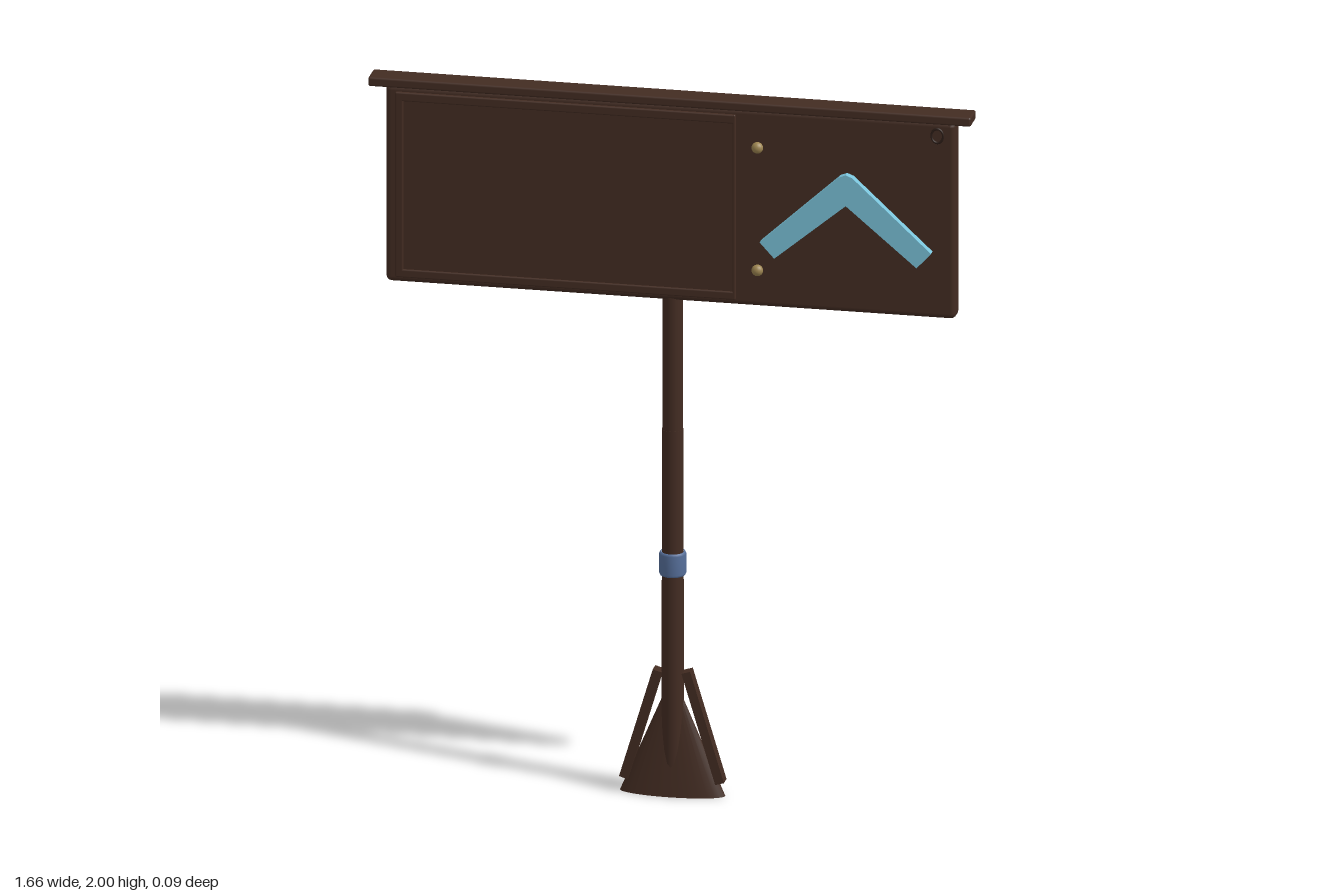
import * as THREE from 'three';
import { RoundedBoxGeometry } from 'three/addons/geometries/RoundedBoxGeometry.js';

export function createModel() {
  const root = new THREE.Group();
  const material = (name, color) => {
    const m = new THREE.MeshStandardMaterial({ color });
    m.name = name;
    return m;
  };
  const wood = material('dark brown wood', 0x432c22);
  const teal = material('light blue paint', 0x7ac3da);
  const brass = material('brass', 0x9c8450);
  const steel = material('blue grey band', 0x566f9a);
  const iron = material('dark iron', 0x2c1d17);

  const add = (name, geometry, mat, x, y, z) => {
    const mesh = new THREE.Mesh(geometry, mat);
    mesh.name = name;
    mesh.position.set(x, y, z);
    root.add(mesh);
    return mesh;
  };
  // Rounded box given by its extents on each axis
  const block = (name, [x0, x1], [y0, y1], [z0, z1], radius, mat = wood) =>
    add(name, new RoundedBoxGeometry(x1 - x0, y1 - y0, z1 - z0, 2, radius), mat,
      (x0 + x1) / 2, (y0 + y1) / 2, (z0 + z1) / 2);

  // Sign board and its cap rail
  block('board', [-0.785, 0.785], [1.415, 1.978], [-0.03, 0.025], 0.016);
  block('capRail', [-0.83, 0.83], [1.974, 2], [-0.032, 0.04], 0.006);

  // Framed notice panel on the front
  block('noticePanel', [-0.74, 0.176], [1.45, 1.94], [0.01, 0.028], 0.002);
  block('frameTop', [-0.757, 0.18], [1.935, 1.96], [0.01, 0.033], 0.004);
  block('frameBottom', [-0.757, 0.18], [1.432, 1.455], [0.01, 0.033], 0.004);
  block('frameLeft', [-0.757, -0.735], [1.432, 1.96], [0.01, 0.033], 0.004);
  block('frameRight', [0.172, 0.18], [1.432, 1.96], [0.01, 0.033], 0.003);

  // Chevron mark
  const chevronPoints = [
    [0.25, 1.607], [0.29, 1.563], [0.487, 1.727], [0.682, 1.563],
    [0.722, 1.607], [0.505, 1.808], [0.487, 1.815], [0.469, 1.808],
  ].map(([x, y]) => new THREE.Vector2(x, y));
  add('chevron', new THREE.ExtrudeGeometry(new THREE.Shape(chevronPoints),
    { depth: 0.027, bevelEnabled: false }), teal, 0, 0, 0.02);

  // Brass studs and the small ring at the corner
  for (const y of [1.87, 1.52]) {
    const stud = add('stud', new THREE.SphereGeometry(0.016, 16, 12), brass, 0.24, y, 0.028);
    stud.scale.z = 0.9;
  }
  const ring = add('cornerRing', new THREE.TorusGeometry(0.016, 0.003, 8, 20), iron, 0.735, 1.938, 0.026);
  ring.scale.y = 1.25;

  // Post in two lengths, with a rounded top behind the board
  const postZ = -0.006;
  add('upperPost', new THREE.CylinderGeometry(0.028, 0.028, 0.46, 20), wood, 0, 1.24, postZ);
  const postTop = add('postTop', new THREE.SphereGeometry(0.028, 20, 12), wood, 0, 1.47, postZ);
  postTop.scale.y = 1.2;
  add('lowerPost', new THREE.CylinderGeometry(0.029, 0.031, 1.02, 20), wood, 0, 0.53, postZ);

  // Band around the post
  const band = [[0.03, -0.033], [0.034, -0.033], [0.037, -0.027], [0.037, 0.027], [0.034, 0.033], [0.03, 0.033]]
    .map(([r, y]) => new THREE.Vector2(r, y));
  add('band', new THREE.LatheGeometry(band, 24), steel, 0, 0.657, postZ);

  // Flattened cone foot and the two leaning braces
  const foot = add('foot', new THREE.ConeGeometry(0.145, 0.34, 32), wood, 0, 0.17, postZ);
  foot.scale.z = 0.28;
  for (const side of [-1, 1]) {
    const brace = add('brace', new THREE.BoxGeometry(0.025, 0.325, 0.036), wood, side * 0.086, 0.195, postZ);
    brace.rotation.z = side * 0.29;
  }
  return root;
}
